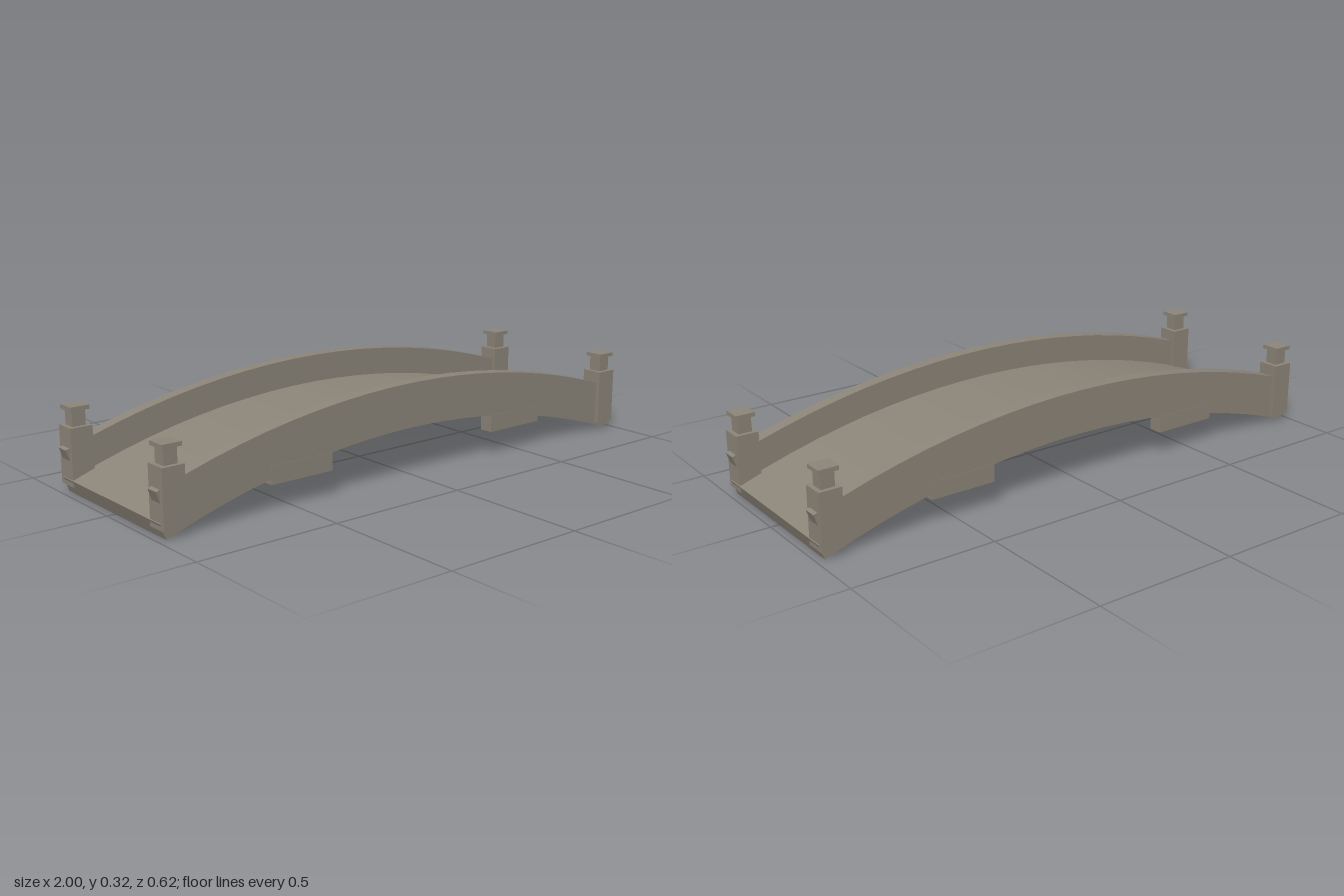
import * as THREE from 'three';

const PIVOT_Y = -2.668; // centre of the arch circle
const BLOCKS = 20;

// Wedge-shaped stone between two radii, spanning `step` radians and centred on z = 0
function wedge(rIn, rOut, step, depth) {
  const h = step / 2;
  const p = (r, a) => new THREE.Vector2(r * Math.sin(a), r * Math.cos(a));
  const shape = new THREE.Shape([p(rIn, -h), p(rIn, h), p(rOut, h), p(rOut, -h)]);
  const geo = new THREE.ExtrudeGeometry(shape, { depth, bevelEnabled: false });
  geo.translate(0, 0, -depth / 2);
  return geo;
}

// Row of wedges forming an arch
function arch(name, rIn, rOut, halfAngle, depth, z, material) {
  const group = new THREE.Group();
  group.name = name;
  group.position.set(0, PIVOT_Y, z);
  const step = (2 * halfAngle) / BLOCKS;
  const geo = wedge(rIn, rOut, step, depth);
  for (let i = 0; i < BLOCKS; i++) {
    const block = new THREE.Mesh(geo, material);
    block.name = name + 'Stone';
    block.rotation.z = halfAngle - step * (i + 0.5);
    group.add(block);
  }
  return group;
}

// Box given by its centre in x and z and its bottom and top
function box(name, w, d, y0, y1, x, z, material) {
  const mesh = new THREE.Mesh(new THREE.BoxGeometry(w, y1 - y0, d), material);
  mesh.name = name;
  mesh.position.set(x, (y0 + y1) / 2, z);
  return mesh;
}

export function createModel() {
  const stone = new THREE.MeshStandardMaterial({ color: 0x8c8579 });
  stone.name = 'stone';
  stone.flatShading = true;

  const bridge = new THREE.Group();
  bridge.name = 'archedBridge';

  // Walkway
  bridge.add(arch('deck', 2.84, 2.895, 0.349, 0.592, 0, stone));

  for (const sz of [1, -1]) {
    // Parapet wall along each edge
    bridge.add(arch('parapet', 2.893, 2.993, 0.3408, 0.047, sz * 0.2735, stone));

    for (const sx of [1, -1]) {
      // Corner post with neck and cap
      const post = new THREE.Group();
      post.name = 'cornerPost';
      const x = sx * 0.948, z = sz * 0.2735;
      post.add(
        box('postShaft', 0.078, 0.077, 0.03, 0.225, x, z, stone),
        box('postNeck', 0.047, 0.047, 0.225, 0.278, x, z, stone),
        box('postCap', 0.068, 0.068, 0.278, 0.292, x, z, stone)
      );
      bridge.add(post);

      // Support block under the arch
      bridge.add(box('supportBlock', 0.238, 0.05, 0.09, 0.15, sx * 0.474, sz * 0.272, stone));
    }
  }
  return bridge;
}
